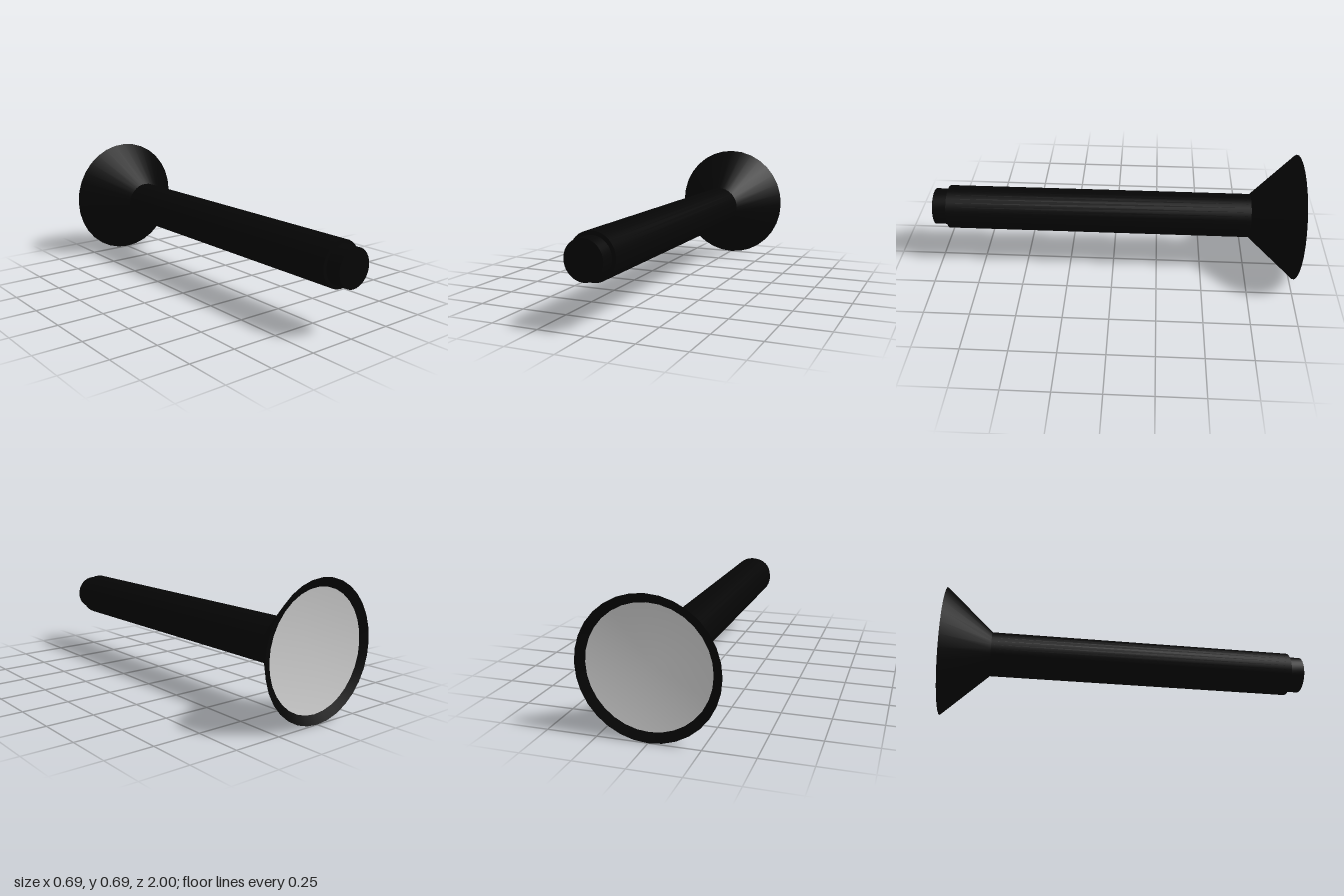
import * as THREE from 'three';
import { toCreasedNormals } from 'three/addons/utils/BufferGeometryUtils.js';

const SIDES = 32;
const AXIS_Y = 0.345;

// Revolves [radius, z] points around the long axis, which runs along z.
function turned(name, points, material) {
  const profile = points.map(([r, z]) => new THREE.Vector2(r, z));
  const geometry = new THREE.LatheGeometry(profile, SIDES).rotateX(Math.PI / 2);
  const mesh = new THREE.Mesh(toCreasedNormals(geometry, Math.PI / 6), material);
  mesh.name = name;
  mesh.position.y = AXIS_Y;
  return mesh;
}

export function createModel() {
  const group = new THREE.Group();
  group.name = 'flashlight';

  const black = new THREE.MeshStandardMaterial({ color: 0x050505, side: THREE.DoubleSide });
  const grey = new THREE.MeshStandardMaterial({ color: 0xcccccc, side: THREE.DoubleSide });

  // Flared head with an inward-sloping lip around the reflector
  group.add(turned('head', [[0.3, -0.98], [0.345, -1], [0.12, -0.75]], black));

  // Long handle, closed by a step at the tail
  group.add(turned('handle', [[0.12, -0.75], [0.12, 0.92], [0.1, 0.92]], black));

  // Narrower tail cap
  group.add(turned('tailCap', [[0.1, 0.92], [0.1, 1], [0, 1]], black));

  // Shallow conical reflector, sunk into the head
  group.add(turned('reflector', [[0, -0.93], [0.3, -0.98]], grey));

  return group;
}
